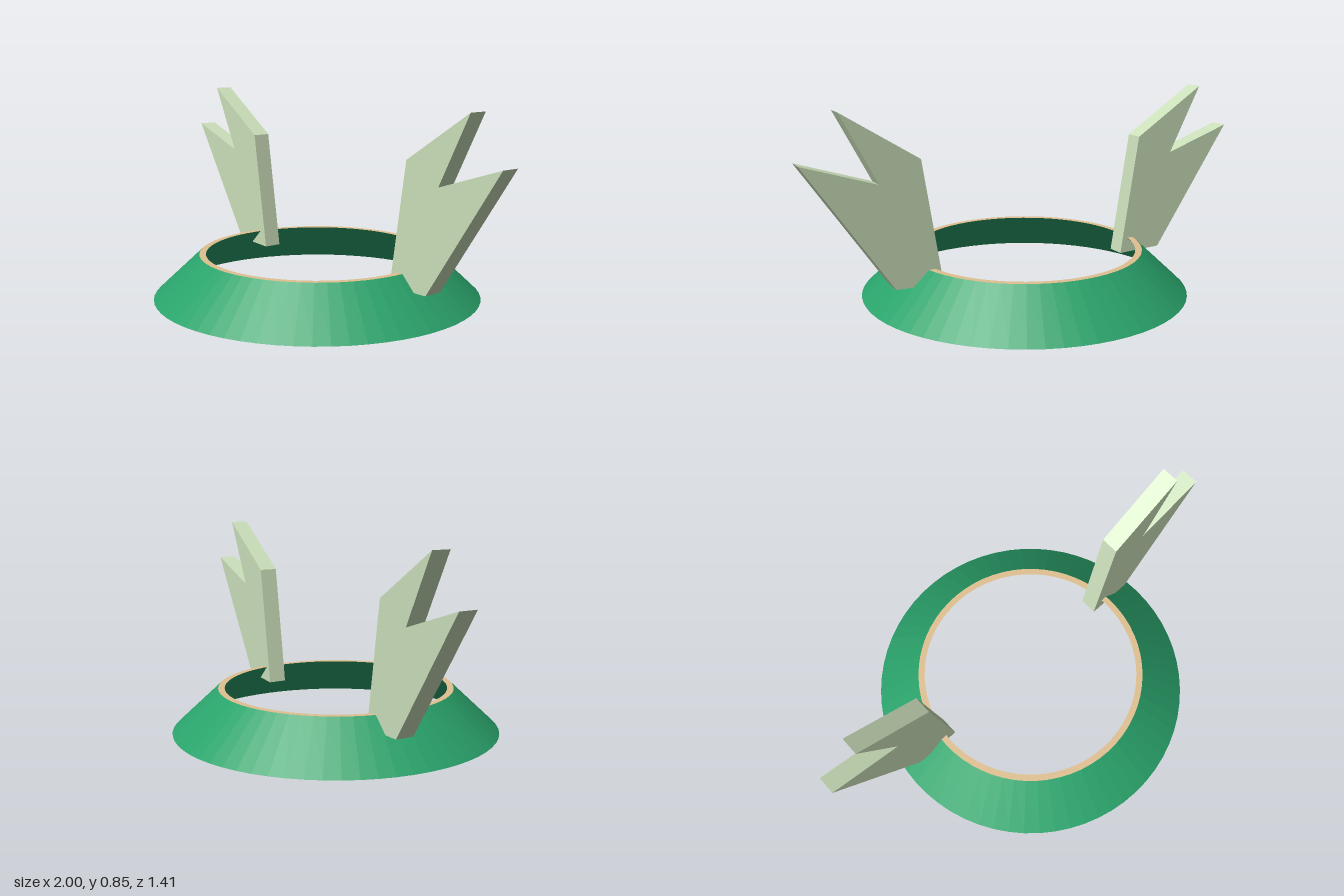
import * as THREE from 'three';

const green = new THREE.MeshStandardMaterial({ color: 0x2aa36b, flatShading: true });
const tan = new THREE.MeshStandardMaterial({ color: 0xe0c090, flatShading: true });
const sage = new THREE.MeshStandardMaterial({ color: 0xcbdfba, flatShading: true });

function addMesh(parent, name, geometry, material) {
  const mesh = new THREE.Mesh(geometry, material);
  mesh.name = name;
  parent.add(mesh);
  return mesh;
}

export function createModel() {
  const model = new THREE.Group();
  model.name = 'hornedCollar';

  // Sloping collar: four bands running around a thin cross-section
  const section = [[0.705, 0], [0.508, 0.185], [0.48, 0.185], [0.677, 0]]
    .map(([r, y]) => new THREE.Vector2(r, y));
  const bands = [['outerWall', green], ['topRim', tan], ['innerWall', green], ['bottomRim', tan]];
  const collar = new THREE.Group();
  collar.name = 'collar';
  bands.forEach(([name, material], i) => {
    const profile = [section[i], section[(i + 1) % 4]];
    addMesh(collar, name, new THREE.LatheGeometry(profile, 64), material);
  });
  model.add(collar);

  // Forked horns, one on each side, set slightly behind the middle
  const zBack = -0.108, thickness = 0.078;
  const outline = [[0.433, 0.118], [0.637, 0.124], [1, 0.657], [0.692, 0.556], [0.843, 0.845], [0.518, 0.64]];
  for (const [name, side] of [['leftHorn', 1], ['rightHorn', -1]]) {
    const shape = new THREE.Shape(outline.map(([x, y]) => new THREE.Vector2(side * x, y)));
    const geometry = new THREE.ExtrudeGeometry(shape, { depth: thickness, bevelEnabled: false });
    addMesh(model, name, geometry, sage).position.z = zBack;
  }
  return model;
}
